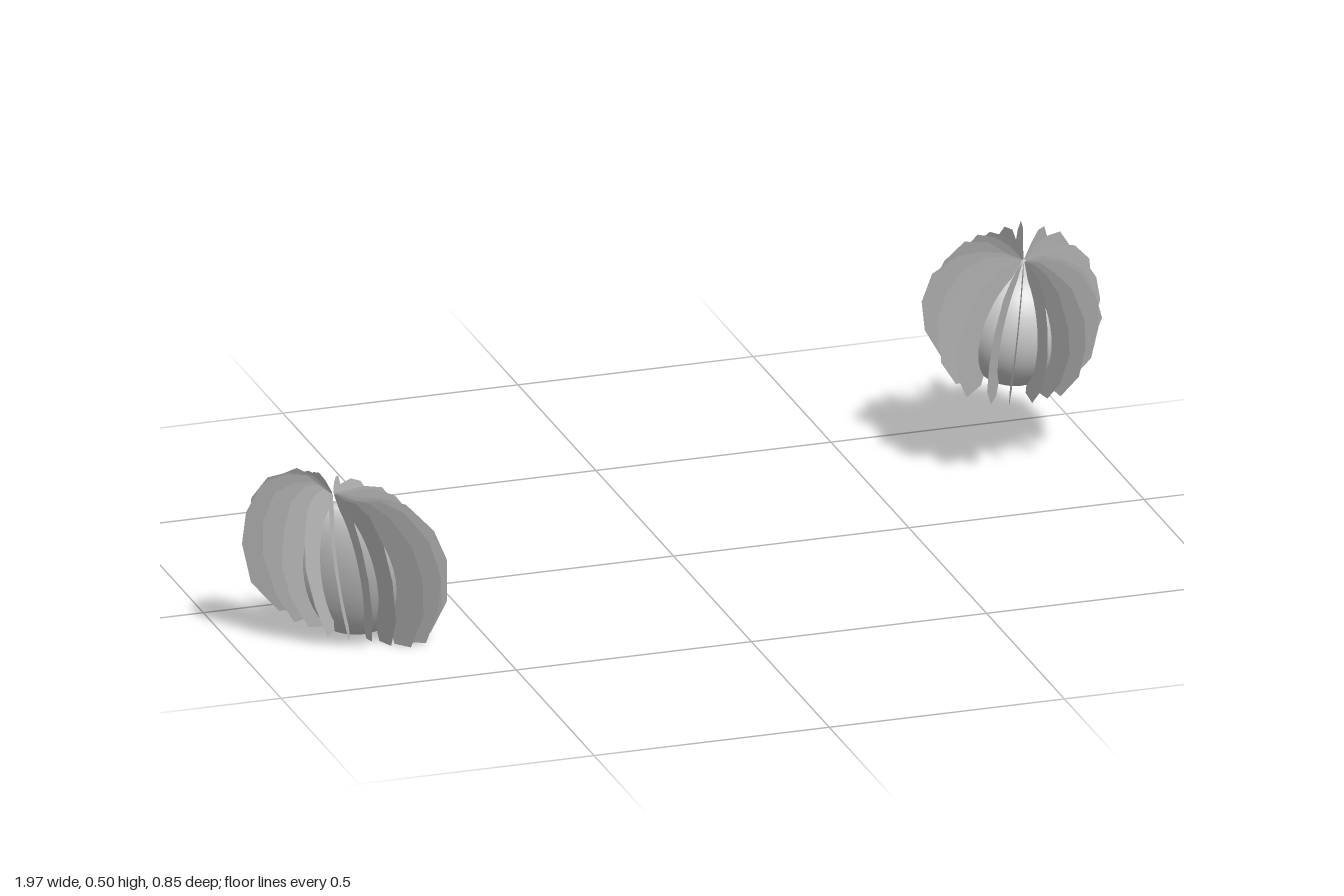
import * as THREE from 'three';

const coreMat = new THREE.MeshStandardMaterial({ color: 0xcccccc });
const finMat = new THREE.MeshStandardMaterial({ color: 0xcccccc, side: THREE.DoubleSide, flatShading: true });

// small seeded generator
function seeded(seed) {
  let s = seed;
  return () => (s = (s * 16807) % 2147483647) / 2147483647;
}

// fin outline as [distance from axis, height along axis]: outer edge from the top down
const OUTER = [
  [0.045, 0.146], [0.09, 0.15], [0.14, 0.132], [0.182, 0.075], [0.198, 0.01],
  [0.185, -0.07], [0.145, -0.138], [0.1, -0.138],
];
// inner edge, from the bottom up, hidden in the core
const INNER = [[0.085, -0.09], [0.09, 0.0], [0.06, 0.08], [0.005, 0.135]];

// one flat angular fin, varied in reach and moved along the axis by shift
function finGeometry(rand, shift) {
  const reach = 0.83 + 0.17 * rand();
  const outer = OUTER.map(([r, h]) =>
    new THREE.Vector2(r * reach * (0.97 + 0.06 * rand()), h + shift + 0.012 * (rand() - 0.5)));
  const inner = INNER.map(([r, h]) => new THREE.Vector2(r, h));
  return new THREE.ShapeGeometry(new THREE.Shape([...outer, ...inner]));
}

// ribbed pod: smooth core ringed with upright fins; slant drops the fins on its left
function makePod({ name, position, side, axis, size, slant, fins, seed }) {
  const rand = seeded(seed);
  const pod = new THREE.Group();
  pod.name = name;

  const core = new THREE.Mesh(new THREE.SphereGeometry(1, 32, 20), coreMat);
  core.name = 'core';
  core.scale.set(0.12, 0.136, 0.12);
  core.position.y = -0.024;
  pod.add(core);

  for (let i = 0; i < fins; i++) {
    const angle = ((i + 0.35 * (rand() - 0.5)) / fins) * Math.PI * 2;
    const fin = new THREE.Mesh(finGeometry(rand, -slant * Math.cos(angle)), finMat);
    fin.name = 'fin' + (i + 1);
    fin.rotation.y = angle;
    pod.add(fin);
  }

  // lean the pod along its axis
  const y = new THREE.Vector3(...axis).normalize();
  const z = new THREE.Vector3(...side).cross(y).normalize();
  const x = y.clone().cross(z);
  pod.quaternion.setFromRotationMatrix(new THREE.Matrix4().makeBasis(x, y, z));
  pod.scale.set(...size);
  pod.position.set(...position);
  return pod;
}

export function createModel() {
  const model = new THREE.Group();
  model.name = 'finnedPods';
  model.add(
    makePod({
      name: 'flatPod', position: [-0.795, 0.2, 0.277], side: [0.84, 0.04, 0.52], axis: [-0.21, 0.94, 0.26],
      size: [1.15, 1.25, 0.42], slant: 0.025, fins: 20, seed: 71,
    }),
    makePod({
      name: 'roundPod', position: [0.815, 0.335, -0.255], side: [1, 0, 0], axis: [0, 0.95, 0.3],
      size: [1, 1, 1], slant: 0, fins: 20, seed: 1234,
    }),
  );
  return model;
}
